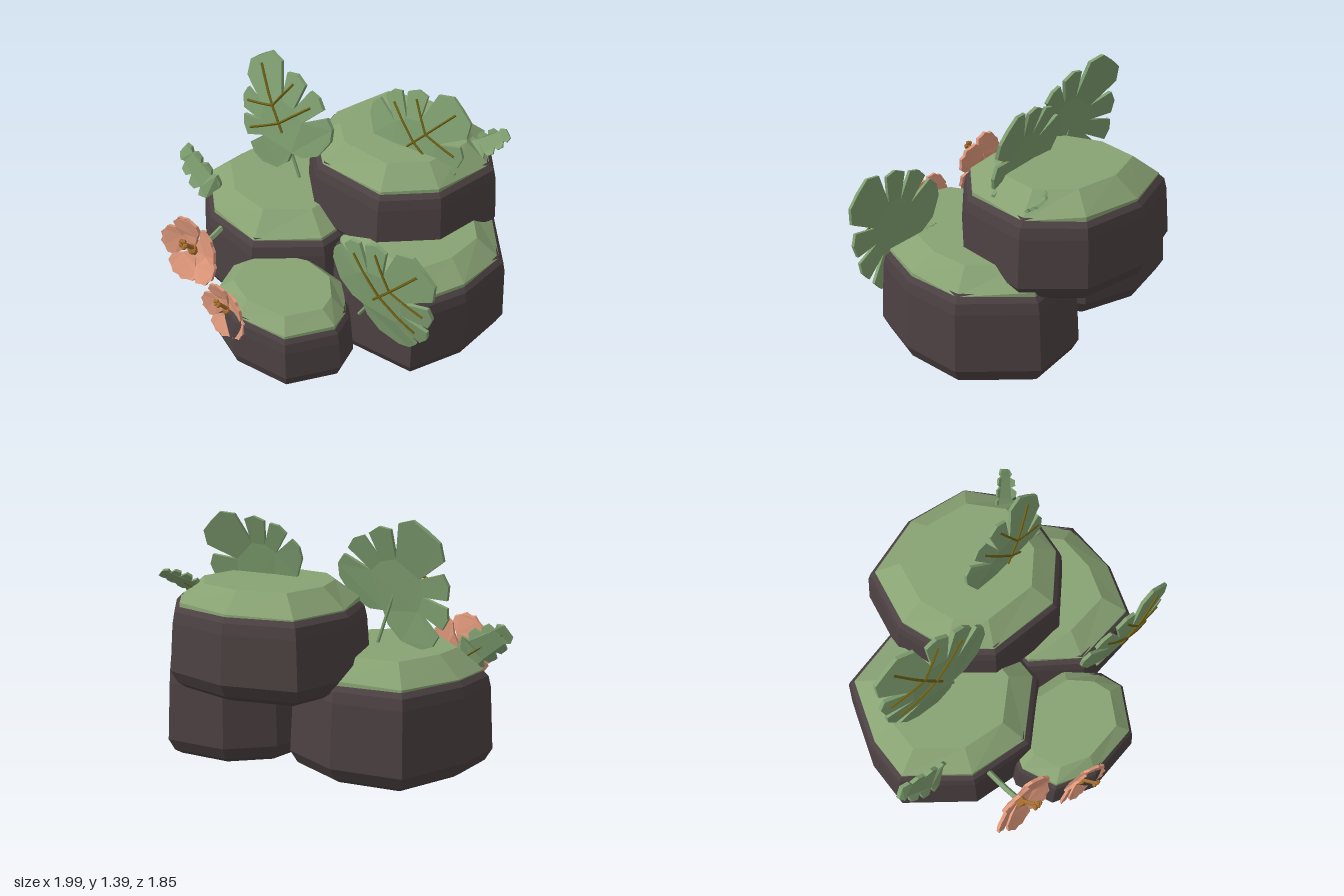
import * as THREE from 'three';

const mat = (name, color, extra = {}) => Object.assign(new THREE.MeshStandardMaterial({ color, ...extra }), { name });
const V = (x, y, z) => new THREE.Vector3(x, y, z);
const rad = THREE.MathUtils.degToRad;

export function createModel() {
  const model = new THREE.Group();
  model.name = 'mossyRocks';
  const M = {
    rock: mat('rock', 0x4c4142),
    moss: mat('moss', 0x88a273),
    leaf: mat('leaf', 0x7f9f70),
    vein: mat('vein', 0x6b5f14),
    petal: mat('petal', 0xdf987b),
    stamen: mat('stamen', 0xa8702f),
  };
  Object.values(M).forEach(m => { m.flatShading = true; });

  const add = (parent, name, geo, material) => {
    const mesh = new THREE.Mesh(geo, material);
    mesh.name = name;
    parent.add(mesh);
    return mesh;
  };

  // Capped loft: an outline scaled about a centre at each [y, scale] ring
  function loft(outline, [cx, cz], rings, wobble = 0) {
    const pos = [], n = outline.length;
    const P = (r, i) => {
      const [y, s] = rings[r], [x, z] = outline[i % n];
      const dy = r < rings.length - 1 ? wobble * Math.sin((i % n) * 2.3) : 0;
      return [cx + (x - cx) * s, y + dy, cz + (z - cz) * s];
    };
    const last = rings.length - 1;
    for (let i = 0; i < n; i++) {
      for (let r = 0; r < last; r++) {
        const a = P(r, i), a2 = P(r, i + 1), b = P(r + 1, i), b2 = P(r + 1, i + 1);
        pos.push(...a2, ...a, ...b, ...a2, ...b, ...b2);
      }
      pos.push(cx, rings[0][0], cz, ...P(0, i), ...P(0, i + 1));
      pos.push(cx, rings[last][0], cz, ...P(last, i + 1), ...P(last, i));
    }
    const g = new THREE.BufferGeometry();
    g.setAttribute('position', new THREE.Float32BufferAttribute(pos, 3));
    g.computeVertexNormals();
    return g;
  }

  // Rocks with moss caps: bottom, rim and moss heights
  const rocks = [
    { name: 'leftRock', c: [-0.37, -0.04], y: [0, 0.56, 0.67], inner: 0.64,
      o: [[-0.72, -0.555], [-0.32, -0.615], [0.02, -0.48], [0.18, -0.15], [0.14, 0.24], [-0.2, 0.51], [-0.6, 0.44], [-0.93, 0.13], [-0.9, -0.16]] },
    { name: 'rightRock', c: [0.53, -0.15], y: [0, 0.53, 0.63], inner: 0.62,
      o: [[0.35, -0.66], [0.72, -0.68], [1.0, -0.33], [0.97, 0.04], [0.82, 0.36], [0.37, 0.385], [0.1, 0.15], [0.07, -0.2], [0.12, -0.46]] },
    { name: 'upperRock', c: [0.2, -0.4], y: [0.47, 0.935, 1.04], inner: 0.65,
      o: [[0.15, -0.93], [0.55, -0.845], [0.765, -0.56], [0.67, -0.12], [0.4, 0.12], [-0.08, 0.08], [-0.29, -0.13], [-0.37, -0.45], [-0.26, -0.83]] },
    { name: 'frontRock', c: [0.08, 0.54], y: [0, 0.375, 0.45], inner: 0.68,
      o: [[0.05, 0.2], [0.32, 0.25], [0.48, 0.43], [0.515, 0.59], [0.33, 0.845], [-0.03, 0.875], [-0.28, 0.765], [-0.36, 0.53], [-0.25, 0.3]] },
  ];
  for (const { name, c, y: [y0, rim, top], inner, o } of rocks) {
    add(model, name, loft(o, c, [[y0, 0.85], [y0 + 0.03, 0.93], [y0 + 0.1, 1], [rim - 0.1, 0.965], [rim - 0.04, 0.94], [rim, 0.87]]), M.rock);
    add(model, name + 'Moss', loft(o, c, [[rim - 0.05, 0.9], [rim, 0.89], [top, inner]], 0.012), M.moss);
  }

  // Extruded plate, bent by a rule z = bend(x, y)
  function plate(points, depth, bend) {
    const g = new THREE.ExtrudeGeometry(new THREE.Shape(points), { depth, bevelEnabled: false });
    const p = g.attributes.position;
    for (let i = 0; i < p.count; i++) p.setZ(i, p.getZ(i) + bend(p.getX(i), p.getY(i)));
    g.computeVertexNormals();
    return g;
  }
  const tube = (pts, r, seg = 5) => new THREE.TubeGeometry(new THREE.CatmullRomCurve3(pts), seg, r, 5);
  // Point at an angle from the midrib (+y), positive to +x
  const polar = (deg, r) => new THREE.Vector2(Math.sin(rad(deg)) * r, Math.cos(rad(deg)) * r);

  // Split leaf: [angle, radius] for one half, mirrored
  const half = [[0, 0.47], [12, 0.475], [23, 0.42], [26, 0.2], [31, 0.37], [42, 0.385], [54, 0.36], [55, 0.19], [61, 0.36],
    [71, 0.375], [82, 0.36], [84, 0.18], [90, 0.36], [101, 0.37], [113, 0.345], [135, 0.27], [158, 0.19]];
  const leafOutline = [...half, [180, 0.13], ...half.slice(1).reverse().map(([a, r]) => [-a, r])].map(([a, r]) => polar(a, r));
  const leafBend = (x, y) => -0.3 * (x * x + y * y);
  function splitLeaf(name, position, rotation, scale, root) {
    const g = new THREE.Group();
    g.name = name;
    add(g, 'leafBlade', plate(leafOutline, 0.022, leafBend), M.leaf);
    const onLeaf = v => V(v.x, v.y, leafBend(v.x, v.y) + 0.024);
    const rib = (a, b) => add(g, 'leafVein', tube([a, a.clone().lerp(b, 0.5), b].map(onLeaf), 0.008), M.vein);
    rib(polar(0, 0), polar(0, 0.42));
    for (const s of [-1, 1]) {
      rib(polar(0, 0.17), polar(s * 42, 0.33));
      rib(polar(0, 0.06), polar(s * 73, 0.3));
    }
    g.position.set(...position);
    g.rotation.set(rotation[0], rotation[1], rad(rotation[2]));
    g.scale.setScalar(scale);
    model.add(g);
    add(model, name + 'Stem', tube([V(...position), V(...root)], 0.01, 1), M.leaf);
  }
  splitLeaf('leftSplitLeaf', [-0.39, 0.96, -0.05], [-0.1, -0.08, 34], 1, [-0.28, 0.62, -0.06]);
  splitLeaf('rightSplitLeaf', [0.61, 0.55, 0.41], [0.1, -0.06, -42], 0.94, [0.48, 0.33, 0.38]);
  splitLeaf('upperSplitLeaf', [0.33, 1.05, -0.27], [-0.15, 0.05, -43], 0.86, [0.28, 0.95, -0.26]);

  // Scalloped fern leaf, folded along its rib
  const fernSide = [[0.03, 0], [0.09, 0.02], [0.115, 0.07], [0.07, 0.1], [0.11, 0.12], [0.115, 0.17], [0.065, 0.2],
    [0.1, 0.22], [0.095, 0.27], [0.05, 0.29], [0.07, 0.32], [0.045, 0.36]];
  const fernOutline = [...fernSide, ...fernSide.slice().reverse().map(([x, y]) => [-x, y])].map(p => new THREE.Vector2(...p));
  const fernBend = (x, y) => 0.35 * Math.abs(x) - 0.4 * y * y;
  function fern(name, base, tip, facing) {
    const g = new THREE.Group();
    g.name = name;
    const up = V(...tip).sub(V(...base)), len = up.length();
    up.normalize();
    const side = up.clone().cross(V(...facing)).normalize();
    g.quaternion.setFromRotationMatrix(new THREE.Matrix4().makeBasis(side, up, side.clone().cross(up)));
    g.position.set(...base);
    g.scale.setScalar(len / 0.36);
    add(g, 'fernBlade', plate(fernOutline, 0.025, fernBend), M.leaf);
    add(g, 'fernRib', tube([0, 0.17, 0.34].map(y => V(0, y, fernBend(0, y) + 0.026)), 0.006), M.vein);
    model.add(g);
  }
  fern('leftFern', [-0.69, 0.56, 0.22], [-0.96, 0.76, 0.24], [0, 0.25, 1]);
  fern('upperFern', [0.58, 0.95, -0.56], [0.73, 1.08, -0.67], [0.1, 0.6, 0.8]);

  // Five cupped petals around a stamen with knobs
  const petalOutline = [[0, 0], [-32, 0.1], [-38, 0.16], [-30, 0.195], [-17, 0.2], [-8, 0.215], [0, 0.205], [9, 0.215],
    [18, 0.2], [30, 0.195], [38, 0.16], [32, 0.1]].reverse().map(([a, r]) => polar(a, r));
  const petalBend = (x, y) => 1.2 * (x * x + y * y) + 0.08 * x;
  function flower(name, position, rotation, scale, stamenTip) {
    const g = new THREE.Group();
    g.name = name;
    for (let i = 0; i < 5; i++) {
      add(g, 'petal', plate(petalOutline, 0.02, petalBend), M.petal).rotation.z = i * Math.PI * 0.4 + 0.25;
    }
    const tip = V(...stamenTip);
    add(g, 'flowerHeart', new THREE.IcosahedronGeometry(0.036, 0), M.stamen).position.set(0, 0, 0.03);
    add(g, 'stamen', tube([V(0, 0, 0.02), tip], 0.013, 1), M.stamen);
    for (let i = 0; i < 5; i++) {
      const a = i * Math.PI * 0.4;
      add(g, 'stamenKnob', new THREE.IcosahedronGeometry(0.015, 0), M.stamen)
        .position.copy(tip).add(V(Math.cos(a) * 0.02, Math.sin(a) * 0.02, 0.006));
    }
    g.position.set(...position);
    g.rotation.set(...rotation);
    g.scale.setScalar(scale);
    model.add(g);
  }
  flower('largeFlower', [-0.48, 0.5, 0.65], [-0.15, 0, 0], 1, [0.03, 0.1, 0.14]);
  flower('smallFlower', [-0.11, 0.34, 0.79], [-0.05, -0.12, 0.2], 0.82, [0.07, 0.14, 0.14]);
  add(model, 'flowerStem', tube([V(-0.49, 0.5, 0.4), V(-0.485, 0.48, 0.55), V(-0.48, 0.5, 0.67)], 0.018), M.leaf);

  return model;
}
